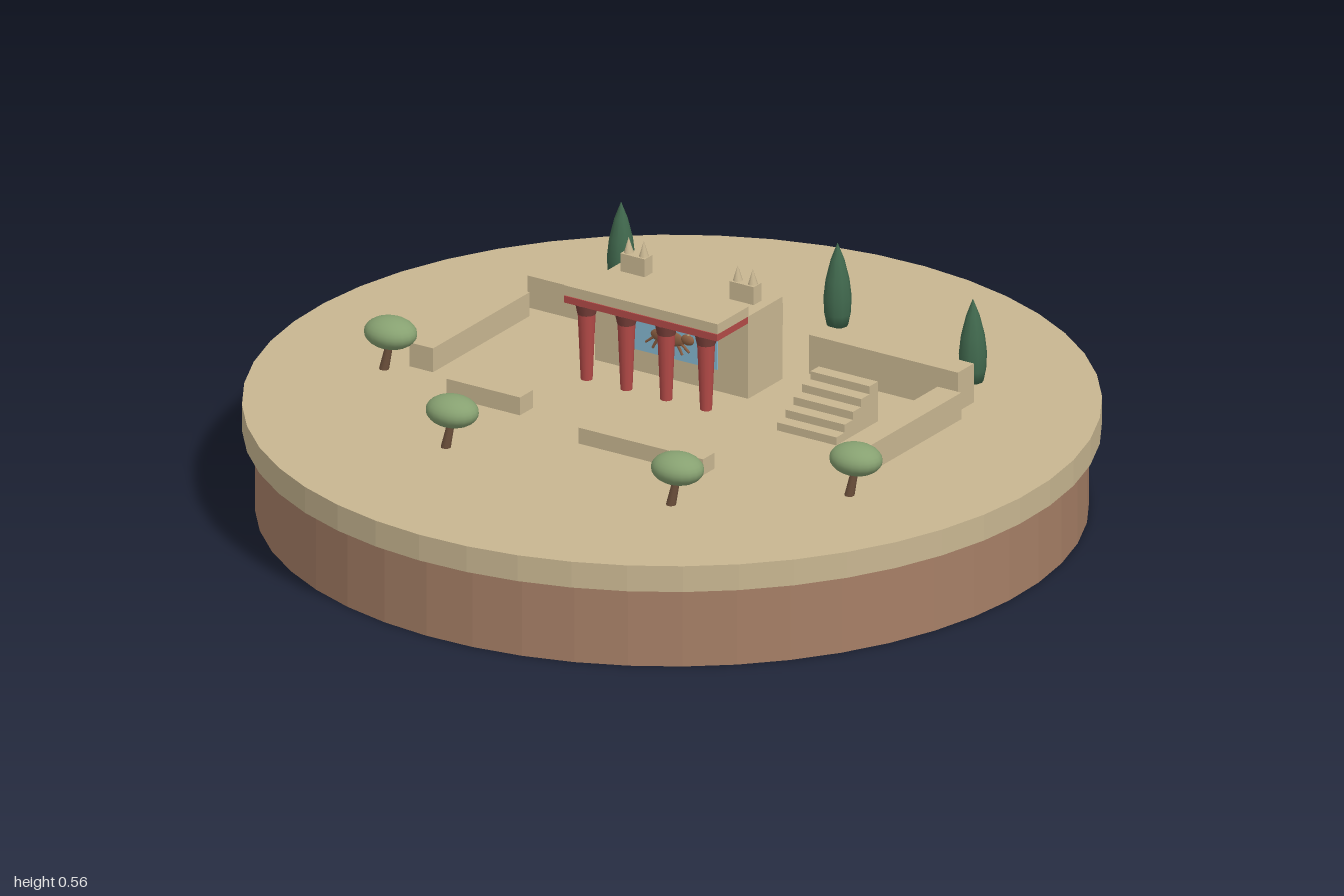
import * as THREE from 'three';

const mat = (name, color, extra = {}) => {
  const m = new THREE.MeshStandardMaterial({ color, ...extra });
  m.name = name;
  return m;
};

export function createModel() {
  const sand = mat('sandstone', 0xc8b691);
  const earth = mat('earth', 0xa67f66);
  const red = mat('column red', 0xb34a47);
  const darkRed = mat('capital dark red', 0x7a403a);
  const blue = mat('fresco blue', 0x84b6cf);
  const brown = mat('bull brown', 0x8c5f42);
  const bark = mat('bark', 0x6e513c);
  const olive = mat('olive green', 0x87a171);
  const cypress = mat('cypress green', 0x41694e);

  const model = new THREE.Group();
  model.name = 'palaceRuinIsland';
  const ground = 0.265;

  const add = (parent, name, geometry, material, x = 0, y = 0, z = 0) => {
    const mesh = new THREE.Mesh(geometry, material);
    mesh.name = name;
    mesh.position.set(x, y, z);
    parent.add(mesh);
    return mesh;
  };
  // Box given by its limits on each axis
  const block = (parent, name, material, x0, x1, y0, y1, z0, z1) =>
    add(parent, name, new THREE.BoxGeometry(x1 - x0, y1 - y0, z1 - z0), material,
      (x0 + x1) / 2, (y0 + y1) / 2, (z0 + z1) / 2);

  // Round island
  const disc = (r, h) => new THREE.CylinderGeometry(r, r, h, 48).toNonIndexed();
  const soil = disc(0.97, 0.2);
  soil.computeVertexNormals();
  add(model, 'earthBase', soil, earth, 0, 0.1, 0);
  const plate = disc(1, 0.065);
  plate.computeVertexNormals();
  add(model, 'groundPlate', plate, sand, 0, 0.2325, 0);

  // Everything built of stone is turned together
  const ruins = new THREE.Group();
  ruins.name = 'ruins';
  ruins.rotation.y = -0.349;
  model.add(ruins);

  // Low walls: x0, x1, z0, z1, top
  [
    [-0.59, -0.245, -0.35, -0.283, 0.345],
    [-0.623, -0.557, -0.242, 0.165, 0.325],
    [-0.31, -0.037, -0.522, -0.453, 0.32],
    [0.176, 0.591, -0.378, -0.311, 0.363],
    [0.557, 0.623, -0.277, 0.137, 0.332],
    [-0.45, -0.245, 0.215, 0.27, 0.31],
    [-0.038, 0.309, 0.287, 0.336, 0.305],
  ].forEach(([x0, x1, z0, z1, top]) => block(ruins, 'lowWall', sand, x0, x1, ground, top, z0, z1));

  // Stairs falling towards the front
  for (let i = 0; i < 5; i++) {
    const z0 = -0.16 + i * 0.035;
    block(ruins, 'step', sand, 0.303, 0.468, ground, ground + 0.02 * (5 - i), z0, z0 + 0.035);
  }

  // Hall with a columned porch
  const hall = new THREE.Group();
  hall.name = 'hall';
  hall.position.x = -0.0715;
  ruins.add(hall);
  const half = 0.2135;
  block(hall, 'hallBlock', sand, -half, half, ground, 0.472, -0.25, -0.106);
  block(hall, 'porchRoof', sand, -half, half, 0.472, 0.497, -0.107, 0.022);
  block(hall, 'porchBeam', red, -half, half, 0.455, 0.472, -0.106, 0.025);

  const shaft = new THREE.CylinderGeometry(0.021, 0.014, 0.165, 12);
  const capital = new THREE.CylinderGeometry(0.027, 0.022, 0.025, 12);
  for (let i = 0; i < 4; i++) {
    const x = (i - 1.5) * 0.111;
    add(hall, 'column', shaft, red, x, ground + 0.0825, 0);
    add(hall, 'capital', capital, darkRed, x, 0.4425, 0);
  }

  // Wall painting with a leaping bull
  block(hall, 'fresco', blue, -0.13, 0.13, 0.32, 0.435, -0.106, -0.101);
  const bull = new THREE.Group();
  bull.name = 'frescoBull';
  bull.position.set(-0.005, 0.372, -0.098);
  hall.add(bull);
  const blob = new THREE.SphereGeometry(1, 14, 10);
  add(bull, 'bullBody', blob, brown).scale.set(0.048, 0.02, 0.008);
  add(bull, 'bullHead', blob, brown, 0.055, 0.006, 0).scale.set(0.018, 0.013, 0.008);
  [[-0.048, -0.014, -0.9], [-0.034, -0.02, -0.5], [0.032, -0.02, 0.5], [0.046, -0.014, 0.9]].forEach(([x, y, tilt]) => {
    add(bull, 'bullLeg', new THREE.CylinderGeometry(0.004, 0.003, 0.035, 6), brown, x, y, 0).rotation.z = tilt;
  });
  add(bull, 'bullHorn', new THREE.ConeGeometry(0.004, 0.024, 6), sand, 0.06, 0.024, 0).rotation.z = -0.4;

  // Paired stone horns on the hall roof
  [-0.152, 0.152].forEach((x) => {
    block(hall, 'hornBase', sand, x - 0.034, x + 0.034, 0.472, 0.517, -0.203, -0.171);
    [-0.021, 0.021].forEach((dx) =>
      add(hall, 'stoneHorn', new THREE.ConeGeometry(0.012, 0.038, 8), sand, x + dx, 0.536, -0.187));
  });

  // Olive trees with leaning trunks
  [[-0.68, -0.03], [-0.43, 0.396], [0.16, 0.61], [0.55, 0.458]].forEach(([x, z]) => {
    const tree = new THREE.Group();
    tree.name = 'oliveTree';
    tree.position.set(x, ground, z);
    model.add(tree);
    add(tree, 'oliveTrunk', new THREE.CylinderGeometry(0.008, 0.012, 0.082, 8), bark, -0.008, 0.037, 0).rotation.z = -0.2;
    const crown = add(tree, 'oliveCrown', new THREE.SphereGeometry(1, 20, 14), olive, 0, 0.093, 0);
    crown.scale.set(0.065, 0.038, 0.054);
    crown.rotation.y = -0.3;
  });

  // Cypress trees
  const profile = [[0, 0], [0.025, 0], [0.031, 0.03], [0.033, 0.07], [0.028, 0.115], [0.016, 0.165], [0, 0.207]]
    .map(([r, y]) => new THREE.Vector2(r, y));
  const cone = new THREE.LatheGeometry(profile, 10);
  [[-0.28, -0.657], [0.267, -0.535], [0.652, -0.28]].forEach(([x, z]) =>
    add(model, 'cypressTree', cone, cypress, x, ground, z));

  return model;
}
